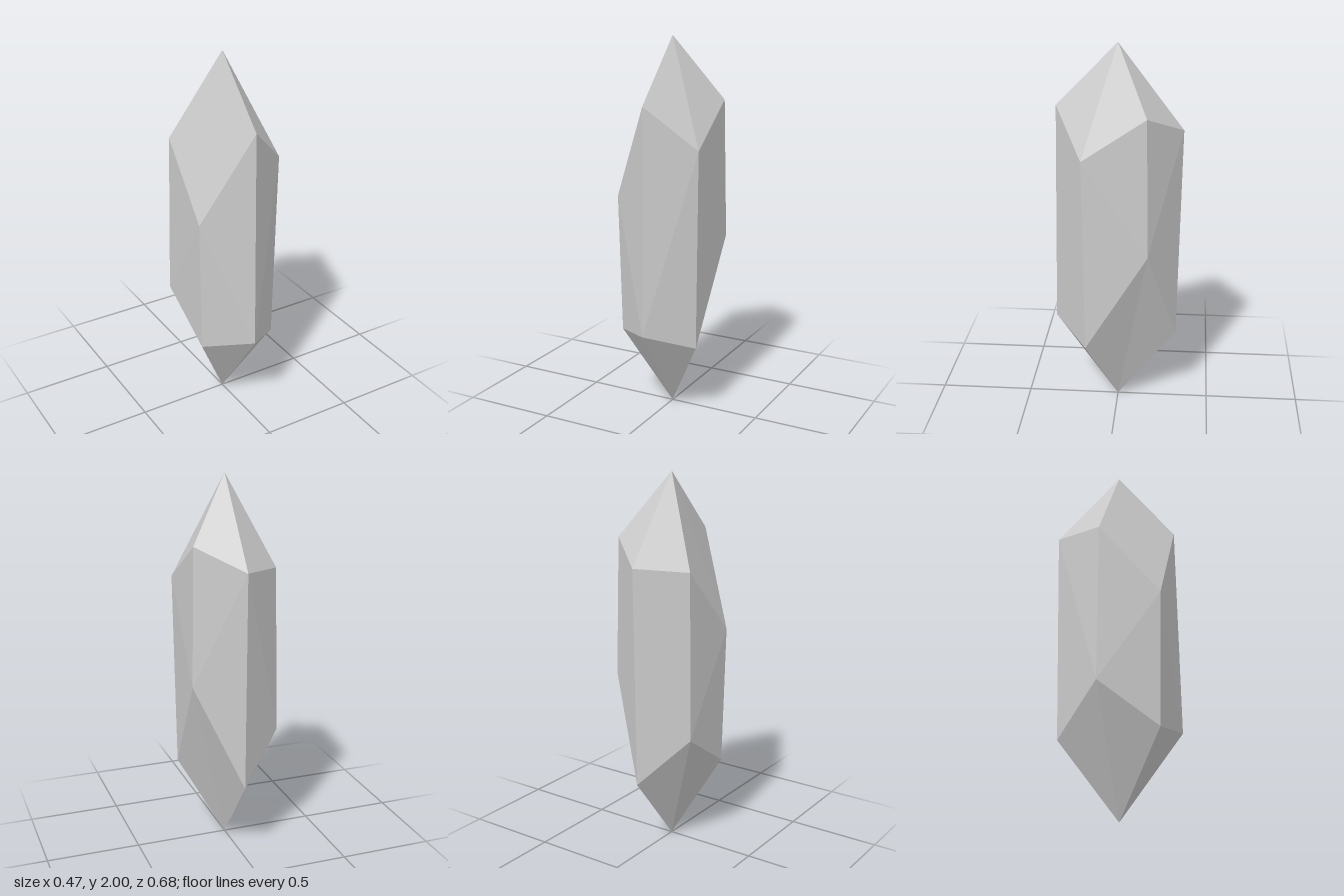
import * as THREE from 'three';

// Six-sided crystal: each column has its own shoulder heights.
export function createModel() {
  const rx = 0.271, rz = 0.338, narrow = 0.94;
  // [lower, upper] heights, going round from the front towards +x
  const columns = [
    [0.485, 1.675], [0.4, 1.45], [0.94, 1.667],
    [0.4, 1.555], [0.65, 1.53], [0.435, 1.175],
  ];
  const tip = [0, 2, 0], foot = [0, 0, 0];

  // Columns alternate between flaring at the bottom and at the top
  const corner = (i, upper) => {
    const k = i % 6, a = k * Math.PI / 3;
    const s = (k % 2 === 1) === upper ? 1 : narrow;
    return [Math.sin(a) * rx * s, columns[k][upper ? 1 : 0], Math.cos(a) * rz * s];
  };

  const positions = [];
  const tri = (...corners) => corners.forEach((c) => positions.push(...c));
  for (let i = 0; i < 6; i++) {
    const b0 = corner(i, false), b1 = corner(i + 1, false);
    const t0 = corner(i, true), t1 = corner(i + 1, true);
    tri(foot, b1, b0); // lower point
    tri(t0, t1, tip); // upper point
    // side facet, folded along the line between the two flared corners
    if (i % 2 === 0) {
      tri(b0, b1, t1);
      tri(b0, t1, t0);
    } else {
      tri(b0, b1, t0);
      tri(b1, t1, t0);
    }
  }

  const geometry = new THREE.BufferGeometry();
  geometry.setAttribute('position', new THREE.Float32BufferAttribute(positions, 3));
  geometry.computeVertexNormals();

  const crystal = new THREE.Mesh(
    geometry,
    new THREE.MeshStandardMaterial({ color: 0xcccccc, flatShading: true }),
  );
  crystal.name = 'crystal';
  const group = new THREE.Group();
  group.name = 'crystalShard';
  group.add(crystal);
  return group;
}
